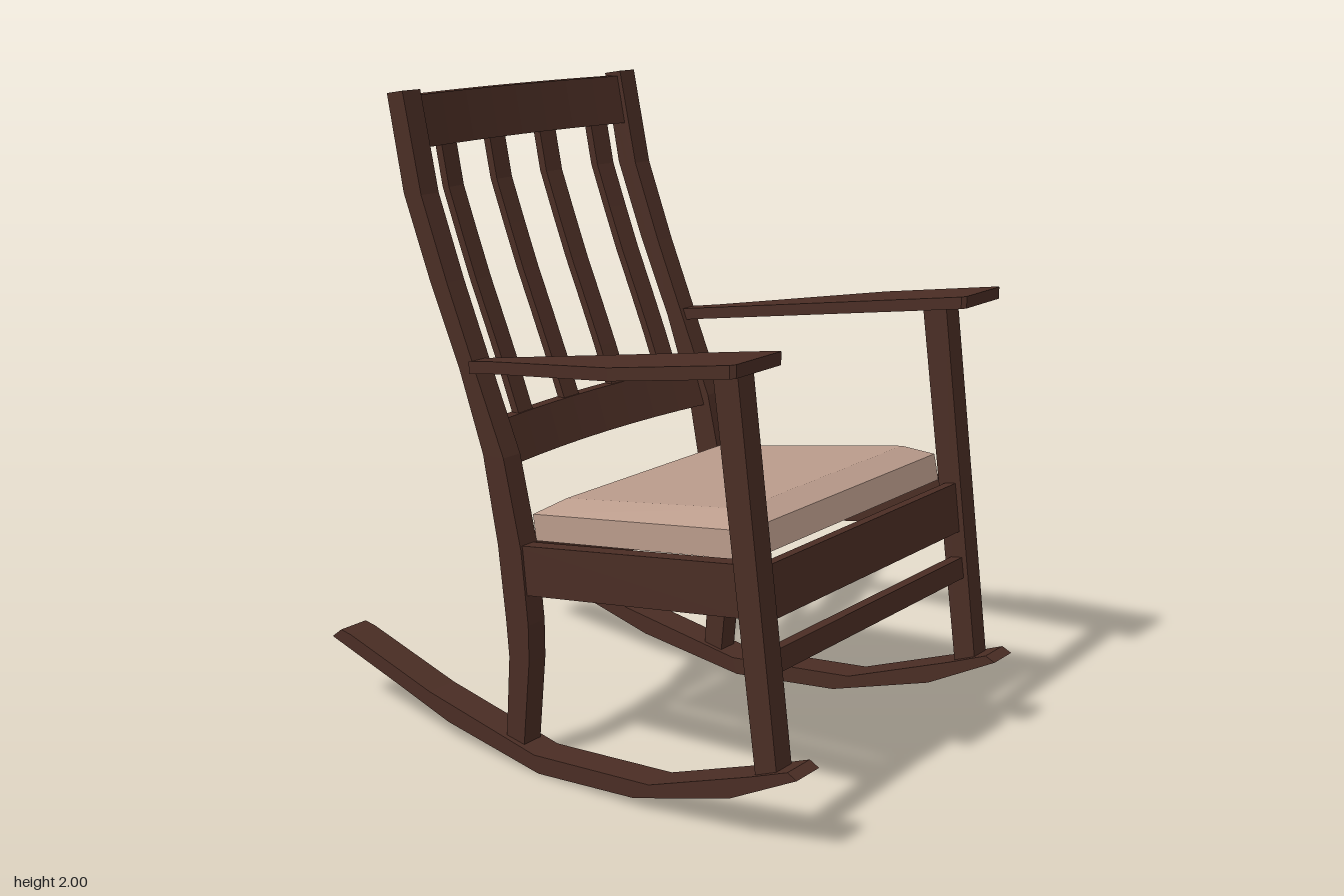
import * as THREE from 'three';

const wood = new THREE.MeshStandardMaterial({ color: 0x4a2d24 });
wood.name = 'dark wood';
const fabric = new THREE.MeshStandardMaterial({ color: 0xba9b8b });
fabric.name = 'cushion fabric';

// Back post outline: [y, front z, back z]
const POST = [
  [2.0, -0.524, -0.587], [1.7, -0.46, -0.53], [1.45, -0.366, -0.434],
  [1.2, -0.262, -0.325], [0.95, -0.157, -0.237], [0.68, -0.095, -0.185],
  [0.45, -0.071, -0.158], [0.336, -0.07, -0.148], [0.05, -0.096, -0.165],
];

// Centre line of the back post at height y
function postZ(y) {
  let i = 0;
  while (i < POST.length - 2 && y < POST[i + 1][0]) i++;
  const a = POST[i], b = POST[i + 1];
  const t = (y - a[0]) / (b[0] - a[0]);
  return THREE.MathUtils.lerp((a[1] + a[2]) / 2, (b[1] + b[2]) / 2, t);
}

// The frame is slightly wider at the front than at the back
const SPLAY = 0.041;

function moveVertices(geo, rule) {
  const p = geo.attributes.position;
  const v = new THREE.Vector3();
  for (let i = 0; i < p.count; i++) {
    rule(v.fromBufferAttribute(p, i));
    p.setXYZ(i, v.x, v.y, v.z);
  }
  return geo;
}

function flat(geo) {
  const g = geo.index ? geo.toNonIndexed() : geo;
  g.computeVertexNormals();
  return g;
}

// Side outline of [z, y] points, given a width along x
function sidePrism(points, width, x, splay = 0) {
  const shape = new THREE.Shape(points.map(([z, y]) => new THREE.Vector2(z, y)));
  const geo = new THREE.ExtrudeGeometry(shape, { depth: width, bevelEnabled: false });
  geo.translate(0, 0, -width / 2).rotateY(-Math.PI / 2);
  return flat(moveVertices(geo, (v) => { v.x += x + splay * v.z; }));
}

// Box that follows the curve of the back and bows rearward in the middle
function backPiece(x, width, y0, y1, depth, bow, nx, ny) {
  const geo = new THREE.BoxGeometry(width, y1 - y0, depth, nx, ny, 1);
  geo.translate(x, (y0 + y1) / 2, 0);
  return flat(moveVertices(geo, (v) => {
    v.z += postZ(v.y) - bow * (1 - (v.x / 0.48) ** 2);
  }));
}

// Cushion: four-cornered rings of [front z, front y, front x, back z, back y, back x]
function cushionGeometry() {
  const rings = [
    [0.70, 0.795, 0.512, -0.10, 0.69, 0.472],
    [0.683, 0.875, 0.512, -0.112, 0.77, 0.472],
    [0.614, 0.907, 0.43, -0.048, 0.812, 0.39],
  ].map(([fz, fy, fx, bz, by, bx]) =>
    [[-fx, fy, fz], [fx, fy, fz], [bx, by, bz], [-bx, by, bz]]);
  const pos = [];
  const quad = (a, b, c, d) => pos.push(...a, ...b, ...c, ...a, ...c, ...d);
  for (let r = 0; r < 2; r++) {
    for (let i = 0; i < 4; i++) {
      const j = (i + 1) % 4;
      quad(rings[r][i], rings[r][j], rings[r + 1][j], rings[r + 1][i]);
    }
  }
  quad(...rings[2]);
  quad(...[...rings[0]].reverse());
  const geo = new THREE.BufferGeometry();
  geo.setAttribute('position', new THREE.Float32BufferAttribute(pos, 3));
  geo.computeVertexNormals();
  return geo;
}

// Flared armrest board, sloping down to the back
function armrestGeometry(s) {
  const plan = [
    [0.49, 0.77], [0.50, 0.783], [0.705, 0.783], [0.717, 0.77], [0.717, 0.37],
    [0.565, -0.18], [0.555, -0.28], [0.49, -0.28],
  ];
  const shape = new THREE.Shape(plan.map(([x, z]) => new THREE.Vector2(s * x, z)));
  const geo = new THREE.ExtrudeGeometry(shape, { depth: 0.037, bevelEnabled: false });
  geo.rotateX(Math.PI / 2);
  return flat(moveVertices(geo, (v) => { v.y += 1.267 + 0.149 * v.z; }));
}

export function createModel() {
  const group = new THREE.Group();
  const add = (name, geo, mat = wood) => {
    const mesh = new THREE.Mesh(geo, mat);
    mesh.name = name;
    group.add(mesh);
  };

  // Paired parts
  const rocker = [
    [0.926, 0.246], [0.70, 0.13], [0.354, 0.03], [-0.02, 0], [-0.40, 0.066],
    [-0.60, 0.128], [-0.926, 0.225], [-0.884, 0.257], [-0.84, 0.25],
    [-0.48, 0.145], [-0.037, 0.055], [0.41, 0.087], [0.77, 0.214], [0.895, 0.262],
  ];
  const frontLeg = [[0.704, 1.345], [0.624, 1.335], [0.78, 0.2], [0.85, 0.22]];
  const backPost = [
    ...POST.map(([y, f]) => [f, y]),
    ...POST.map(([y, , b], i) => [b, i ? y : y - 0.01]).reverse(),
  ];
  const sideRail = [[0.72, 0.802], [0.74, 0.652], [-0.12, 0.535], [-0.14, 0.685]];
  for (const [side, s] of [['left', 1], ['right', -1]]) {
    add(side + 'Rocker', sidePrism(rocker, 0.11, s * 0.517, s * SPLAY));
    add(side + 'FrontLeg', sidePrism(frontLeg, 0.074, s * 0.553));
    add(side + 'BackPost', sidePrism(backPost, 0.075, s * 0.511));
    add(side + 'SideRail', sidePrism(sideRail, 0.05, s * 0.519, s * SPLAY));
    add(side + 'Armrest', armrestGeometry(s));
  }

  // Cross pieces of the seat frame
  add('frontRail', sidePrism(
    [[0.758, 0.792], [0.722, 0.787], [0.742, 0.635], [0.778, 0.64]], 1.04, 0));
  add('frontStretcher', sidePrism(
    [[0.79, 0.558], [0.752, 0.553], [0.761, 0.488], [0.799, 0.493]], 1.04, 0));
  add('backRail', backPiece(0, 0.96, 0.54, 0.69, 0.04, 0, 1, 2));

  // Curved backrest
  add('topBackRail', backPiece(0, 0.95, 1.83, 1.982, 0.035, 0.035, 8, 1));
  add('lowerBackRail', backPiece(0, 0.95, 0.915, 1.045, 0.035, 0.035, 8, 1));
  [-0.355, -0.118, 0.122, 0.362].forEach((x, i) => {
    add('backSlat' + (i + 1), backPiece(x, 0.074, 1.03, 1.84, 0.026, 0.035, 1, 6));
  });

  // Seat cushion
  add('seatCushion', cushionGeometry(), fabric);

  return group;
}
